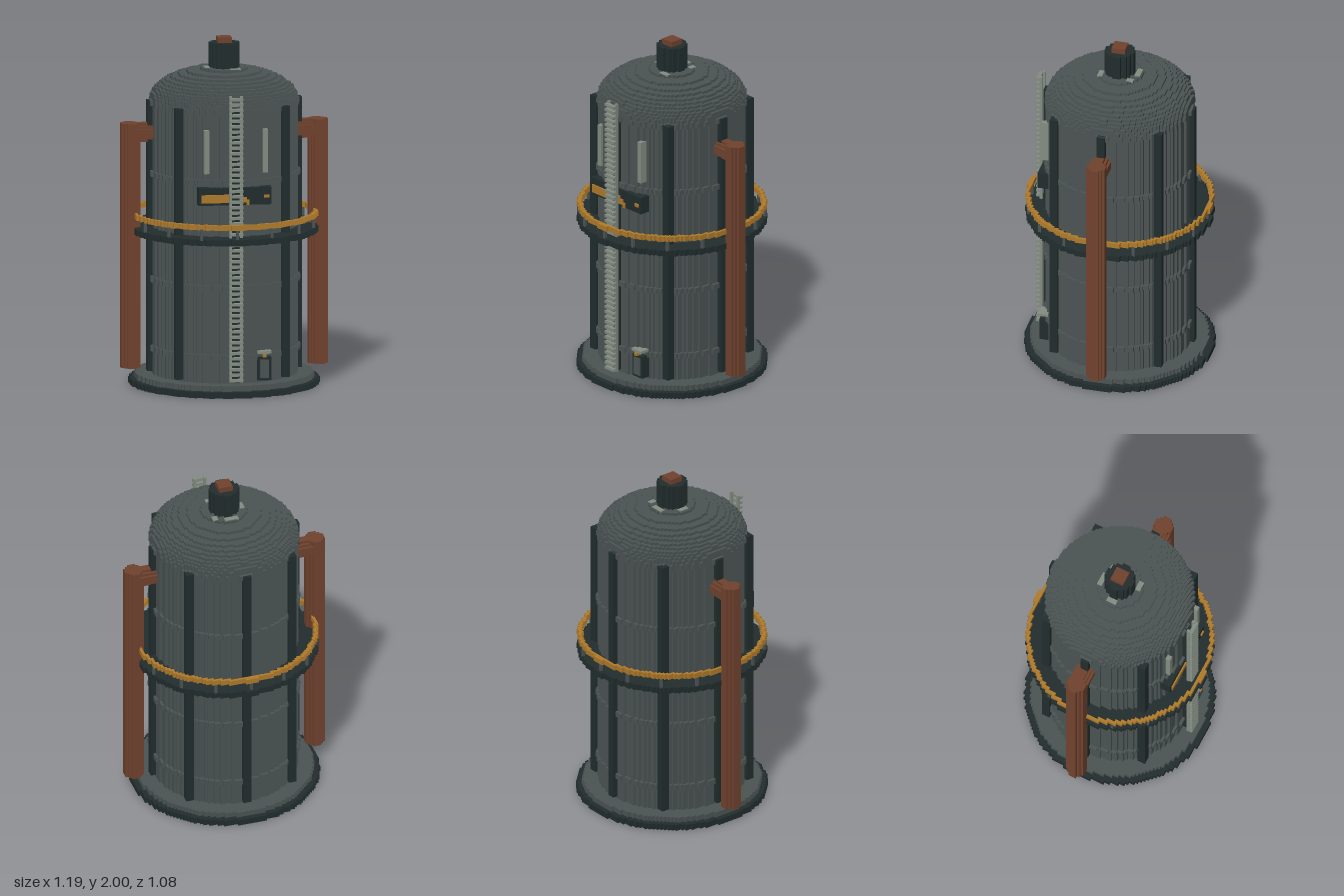
import * as THREE from 'three';

const V = 1 / 64; // block size

const mat = (name, color) => Object.assign(new THREE.MeshStandardMaterial({ color }), { name });

// Stepped circle outline on the block grid, radius r in blocks
function steppedCircle(r, Type) {
  const n = Math.floor(r), right = [], left = [];
  for (let k = -n; k <= n; k++) {
    const w = (Math.floor(Math.sqrt(r * r - k * k)) + 0.5) * V;
    for (const e of [-0.5, 0.5]) {
      right.push(new THREE.Vector2(w, (k + e) * V));
      left.unshift(new THREE.Vector2(-w, (k + e) * V));
    }
  }
  const pts = [...right, ...left].filter((p, i, a) => i === 0 || !p.equals(a[i - 1]));
  return new Type(pts);
}

// Upright stepped disc, or ring when an inner radius is given
function disc(r, y0, y1, inner = 0) {
  const shape = steppedCircle(r, THREE.Shape);
  if (inner) shape.holes.push(steppedCircle(inner, THREE.Path));
  const g = new THREE.ExtrudeGeometry(shape, { depth: y1 - y0, bevelEnabled: false });
  return g.rotateX(-Math.PI / 2).translate(0, y0, 0);
}

// Box from its limits
function box(x0, x1, y0, y1, z0, z1) {
  return new THREE.BoxGeometry(x1 - x0, y1 - y0, z1 - z0)
    .translate((x0 + x1) / 2, (y0 + y1) / 2, (z0 + z1) / 2);
}

export function createModel() {
  const root = new THREE.Group();
  root.name = 'storageTank';
  const steel = mat('steelGrey', 0x4b5453);
  const dark = mat('darkSteel', 0x222d2d);
  const rust = mat('rustBrown', 0x70422e);
  const amber = mat('amberPaint', 0xaf7a2a);
  const pale = mat('paleMetal', 0x838c82);

  const add = (name, geometry, material, parent = root) => {
    const m = new THREE.Mesh(geometry, material);
    m.name = name;
    parent.add(m);
    return m;
  };
  const group = (name) => {
    const g = new THREE.Group();
    g.name = name;
    root.add(g);
    return g;
  };

  // Base plinth
  add('basePlate', disc(34.5, 0, 0.035), dark);
  add('baseStep', disc(32.5, 0.035, 0.066), steel);

  // Tank wall and hoops
  add('tankWall', disc(26.6, 0.066, 1.645), steel);
  for (const y of [0.2, 0.6, 1.21]) add('hoop', disc(27.4, y, y + 2 * V), steel);
  add('topHoop', disc(27.1, 1.615, 1.645), steel);

  // Stepped dome
  const dome = group('dome');
  for (let i = 0; i < 12; i++) {
    const h = (i + 0.4) / 12;
    const r = 26.9 * Math.sqrt(1 - h * h);
    add('domeStep', disc(r, 1.64 + i * V - 0.002, 1.64 + (i + 1) * V - 0.002), steel, dome);
  }
  // Worn patches around the vent
  for (const [x, z, w, d] of [[-0.01, -0.108, 0.08, 0.03], [0.08, -0.08, 0.03, 0.04],
    [-0.1, 0, 0.03, 0.06], [0.05, 0.1, 0.06, 0.03]]) {
    add('wornPatch', box(x - w / 2, x + w / 2, 1.82, 1.829, z - d / 2, z + d / 2), pale, dome);
  }

  // Roof vent
  add('vent', disc(5.2, 1.81, 1.969), dark);
  add('ventCap', box(-0.04, 0.04, 1.969, 2, -0.04, 0.04), rust);

  // Eight vertical ribs
  const ribs = group('ribs');
  for (let i = 0; i < 8; i++) {
    const a = i * Math.PI / 4, r = i % 2 ? 0.433 : 0.421;
    const x = Math.sin(a) * r, z = Math.cos(a) * r, s = 1.5 * V;
    add('rib', box(x - s, x + s, 0.08, 1.645, z - s, z + s), dark, ribs);
  }

  // Walkway with posts and handrail
  const walkway = group('walkway');
  add('deck', disc(34.1, 0.88, 0.915, 26), dark, walkway);
  add('handrail', disc(34.1, 0.97, 1.0, 32.8), amber, walkway);
  for (let i = 0; i < 16; i++) {
    const a = i * Math.PI / 8;
    const x = Math.round(Math.sin(a) * 33.4) * V, z = Math.round(Math.cos(a) * 33.4) * V;
    add('railPost', box(x - V / 2, x + V / 2, 0.91, 0.975, z - V / 2, z + V / 2), steel, walkway);
  }

  // Side pipes with elbows into the wall
  for (const s of [-1, 1]) {
    const pipe = group(s > 0 ? 'leftPipe' : 'rightPipe');
    add('downPipe', disc(3.2, 0.1, 1.515).translate(s * 0.54, 0, 0), rust, pipe);
    const elbow = disc(3.2, 0, 0.14).rotateZ(-s * Math.PI / 2);
    add('elbow', elbow.translate(s * 0.4, 1.46, 0), rust, pipe);
  }

  // Front ladder
  const ladder = group('ladder');
  for (const s of [-1, 1]) {
    const x = s * 2 * V;
    add('ladderRail', box(x - V / 2, x + V / 2, 0.08, 1.735, 0.447, 0.464), pale, ladder);
  }
  for (let y = 0.085; y < 1.73; y += 2 * V) {
    add('rung', box(-2.5 * V, 2.5 * V, y, y + V, 0.46, 0.483), pale, ladder);
  }

  // Tall light strips
  for (const x of [-0.161, 0.177]) {
    add('lightStrip', box(x - 0.014, x + 0.014, 1.28, 1.53, 0.37, 0.412), pale);
  }

  // Front sign with chipped paint
  const sign = group('signBoard');
  add('signPlate', box(-0.21, 0.21, 1.1, 1.2, 0.36, 0.43), dark, sign);
  for (const [x0, x1, y0, y1] of [[-0.195, 0.04, 1.115, 1.162], [0.04, 0.065, 1.115, 1.146],
    [0.065, 0.082, 1.1, 1.13], [0.165, 0.195, 1.14, 1.158]]) {
    add('signPaint', box(x0, x1, y0, y1, 0.43, 0.439), amber, sign);
  }

  // Small hatch at the foot of the tank
  const hatch = group('hatch');
  add('hatchFrame', box(0.13, 0.21, 0.08, 0.215, 0.36, 0.42), dark, hatch);
  add('hatchPanel', box(0.145, 0.195, 0.095, 0.2, 0.42, 0.425), steel, hatch);
  add('hatchHood', box(0.13, 0.21, 0.235, 0.25, 0.37, 0.43), pale, hatch);
  add('hatchLamp', box(0.16, 0.18, 0.215, 0.232, 0.4, 0.435), amber, hatch);

  return root;
}
